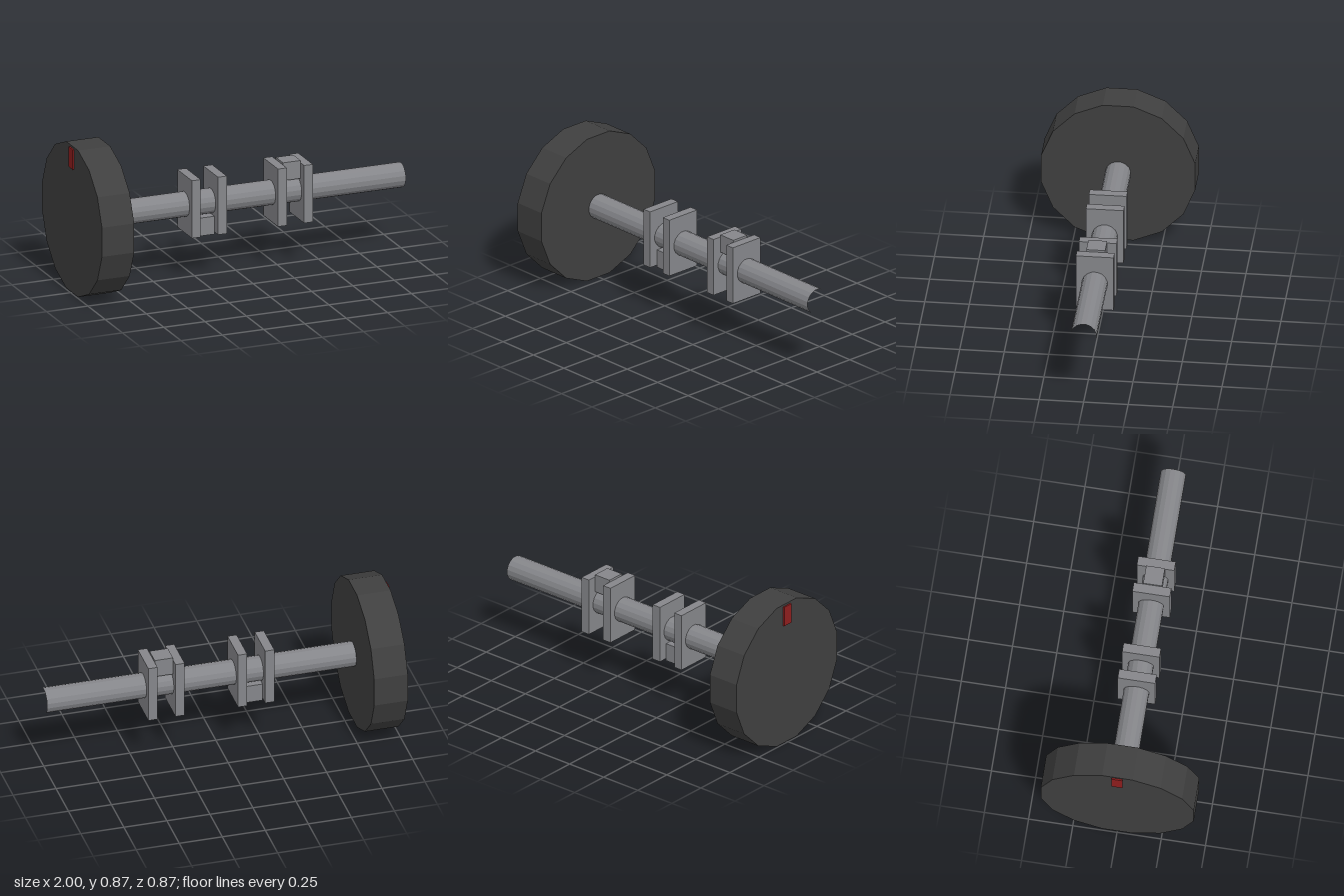
import * as THREE from 'three';

export function createModel() {
  const model = new THREE.Group();
  model.name = 'crankshaft';
  const material = (name, color, flatShading = true) =>
    Object.assign(new THREE.MeshStandardMaterial({ color, flatShading }), { name });
  const steel = material('steel', 0x85868a);
  const darkIron = material('darkIron', 0x3f3f3f);
  const red = material('markerRed', 0x8f1e1e);

  const axisY = 0.4325;
  const sides = 16;

  const add = (name, geometry, mat, x, y = axisY) => {
    const mesh = new THREE.Mesh(geometry, mat);
    mesh.name = name;
    mesh.position.set(x, y, 0);
    model.add(mesh);
  };

  // Sixteen-sided cylinder lying along x, with a flat facing up
  const axle = (radius, length, open) =>
    new THREE.CylinderGeometry(radius, radius, length, sides, 1, open, Math.PI / sides, Math.PI * 2)
      .rotateZ(Math.PI / 2);

  // Flywheel with its timing mark
  add('flywheel', axle(0.441, 0.195, false), darkIron, -0.8935);
  add('timingMark', new THREE.BoxGeometry(0.009, 0.118, 0.062), red, -0.9955, 0.794);

  // Main shaft: a tube with open ends
  add('mainShaft', axle(0.072, 1.8, true), steel, 0.1);

  // Two throws: a pair of webs with a crank pin, one below and one above the shaft
  for (const [x, side] of [[-0.204, -1], [0.317, 1]]) {
    for (const dx of [-0.079, 0.079]) {
      add('crankWeb', new THREE.BoxGeometry(0.053, 0.34, 0.212), steel, x + dx);
    }
    add('crankPin', new THREE.BoxGeometry(0.106, 0.106, 0.106), steel, x, axisY + side * 0.13);
  }
  return model;
}
